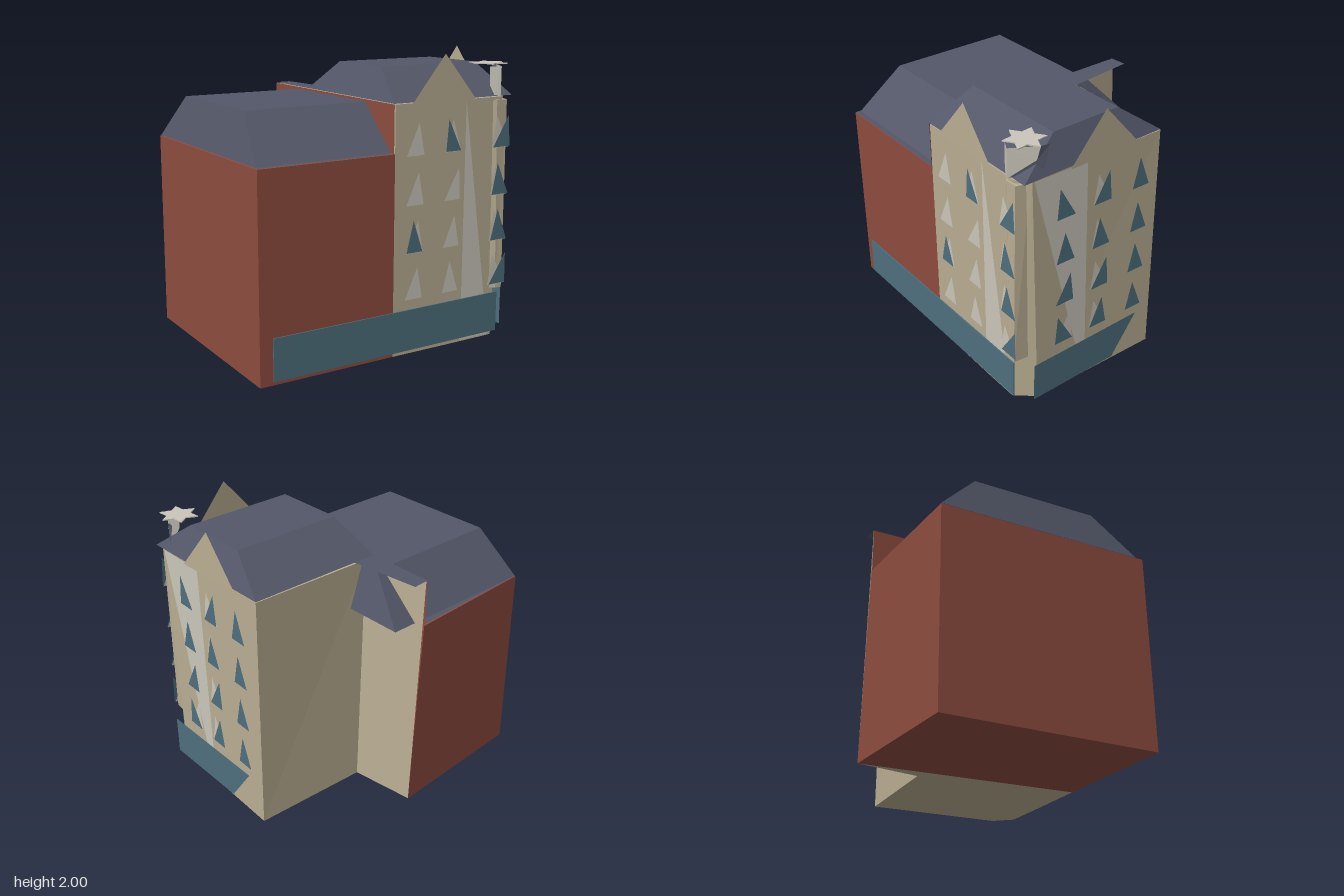
import * as THREE from 'three';

const mat = (name, color) => {
  const m = new THREE.MeshStandardMaterial({ color, side: THREE.DoubleSide, flatShading: true });
  m.name = name;
  return m;
};

// Solid between two rings of [x, z] points, listed anticlockwise from above
function loft(bottom, top, y0, y1) {
  const pos = [], n = bottom.length;
  const b = bottom.map(([x, z]) => [x, y0, z]);
  const t = top.map(([x, z]) => [x, y1, z]);
  const tri = (p, q, r) => pos.push(...p, ...q, ...r);
  for (let i = 0; i < n; i++) {
    const j = (i + 1) % n;
    tri(b[i], b[j], t[j]);
    tri(b[i], t[j], t[i]);
  }
  const caps = THREE.ShapeUtils.triangulateShape(bottom.map(([x, z]) => new THREE.Vector2(x, -z)), []);
  for (const [p, q, r] of caps) {
    tri(t[p], t[q], t[r]);
    tri(b[r], b[q], b[p]);
  }
  return finish(pos);
}

// Flat convex face through 3D corners
function face(...pts) {
  const pos = [];
  for (let i = 1; i < pts.length - 1; i++) pos.push(...pts[0], ...pts[i], ...pts[i + 1]);
  return finish(pos);
}

function finish(pos) {
  const g = new THREE.BufferGeometry();
  g.setAttribute('position', new THREE.Float32BufferAttribute(pos, 3));
  g.computeVertexNormals();
  return g;
}

const rect = (x0, x1, z0, z1) => [[x0, z1], [x1, z1], [x1, z0], [x0, z0]];

export function createModel() {
  const red = mat('brickRed', 0x8e4c3f);
  const beige = mat('beigeStone', 0xb9ad92);
  const cream = mat('paleCream', 0xcac6ba);
  const teal = mat('tealGlass', 0x4d6f7d);
  const slate = mat('slateRoof', 0x535768);
  const root = new THREE.Group();
  root.name = 'cornerBuilding';
  const add = (name, geo, m) => {
    const mesh = new THREE.Mesh(geo, m);
    mesh.name = name;
    root.add(mesh);
    return mesh;
  };

  // Low brick wing and its hipped roof
  add('brickWing', loft(
    [[-0.99, 0.77], [0, 0.77], [0.08, -0.81], [-0.99, -0.75]],
    [[-0.99, 0.77], [0, 0.77], [0, -0.81], [-0.99, -0.75]], 0, 1.375), red);
  add('brickWingRoof', loft(rect(-0.98, 0.2, -0.75, 0.73), rect(-0.9, 0.1, -0.47, 0.43), 1.38, 1.68), slate);
  add('wingEave', face([-0.985, 1.38, 0.77], [0, 1.38, 0.77], [0, 1.38, -0.8], [-0.985, 1.38, -0.75]), slate);

  // Tall stone tower with a rear annex
  add('stoneTower', loft(
    [[0, 0.77], [0.56, 0.775], [0.84, 0.775], [0.95, 0.65], [0.985, -0.32], [0.15, -0.355], [0.08, -0.81]],
    [[0, 0.77], [0.56, 0.775], [0.87, 0.775], [0.95, 0.7], [0.965, -0.32], [0.07, -0.33], [0, -0.81]], 0, 1.695), beige);
  add('brickPartyWall', face([-0.008, 1.37, 0.77], [-0.008, 1.695, 0.77], [-0.008, 1.695, -0.81], [-0.008, 1.37, -0.81]), red);
  add('towerRoof', loft(rect(-0.01, 0.965, -0.32, 0.77), rect(0.08, 0.87, -0.03, 0.48), 1.7, 1.91), slate);
  add('annexRoof', face([-0.01, 1.7, -0.32], [0.16, 1.7, -0.32], [0.11, 1.7, -0.82], [-0.01, 1.7, -0.81]), slate);

  // Flat gables
  add('frontGable', face([0.12, 1.685, 0.78], [0.65, 1.685, 0.78], [0.385, 2, 0.775]), beige);
  add('sideGable', face([0.975, 1.685, 0.43], [0.975, 1.685, -0.12], [0.97, 2, 0.155]), beige);

  // Tapering pale wall panels
  add('frontPalePanel', face([0.565, 1.69, 0.779], [0.565, 0.01, 0.779], [0.81, 0.01, 0.779]), cream);
  const wallX = z => 0.953 + 0.036 * (0.68 - z);
  const onSide = ([z, y], off) => [wallX(z) + off, y, z];
  add('sidePalePanel', face(...[[0.69, 1.69], [0.27, 0.01], [0.255, 0.01], [0.29, 1.69]].map(p => onSide(p, 0.003))), cream);

  // Narrow bay on the chamfered corner
  add('cornerBay', loft(
    [[0.81, 0.77], [0.85, 0.8], [0.9, 0.805], [0.915, 0.69]],
    [[0.79, 0.77], [0.82, 0.79], [0.905, 0.79], [0.93, 0.7]], 0.35, 1.675), beige);

  // Shop-front bands
  const band = add('frontBand', new THREE.BoxGeometry(1.78, 0.285, 0.008), teal);
  band.position.set(-0.015, 0.1725, 0.787);
  add('sideBand', face([0.984, 0.03, 0.705], [0.99, 0.03, 0.02], [0.992, 0.317, -0.185], [0.984, 0.317, 0.705]), teal);

  // Triangular windows, four floors from the top down
  const floors = [1.357, 1.028, 0.705, 0.387];
  const h = 0.217;
  const frontWindow = (l, r, apex, y, z, m) =>
    add('frontWindow', face([l, y, z], [r, y, z], [apex, y + h, z]), m);
  const sideWindow = (l, r, apex, y, off, m) =>
    add('sideWindow', face(...[[l, y], [r, y], [apex, y + h]].map(p => onSide(p, off))), m);
  const cornerApex = [0.91, 0.825, 0.84, 0.92];
  const midApex = [0.46, 0.515, 0.485, 0.455];
  const sideApex = [[0.5, 0.115], [0.455, 0.18], [0.405, 0.11], [0.5, 0.135]];
  floors.forEach((y, i) => {
    frontWindow(0.085, 0.225, 0.183, y - 0.004, 0.782, cream);
    frontWindow(0.395, 0.527, midApex[i], y - 0.004, 0.782, cream);
    frontWindow(0.77, 0.92, 0.81, y - 0.004, 0.808, cream);
    frontWindow(0.78, 0.923, cornerApex[i], y, 0.812, teal);
    sideWindow(0.515, 0.375, 0.41, y - 0.004, 0.006, cream);
    sideWindow(0.235, 0.09, 0.2, y - 0.004, 0.006, cream);
    sideWindow(0.52, 0.378, sideApex[i][0], y, 0.01, teal);
    sideWindow(0.232, 0.093, sideApex[i][1], y, 0.01, teal);
    sideWindow(-0.083, -0.218, -0.135, y, 0.01, teal);
  });
  frontWindow(0.4, 0.525, 0.42, floors[0], 0.786, teal);
  frontWindow(0.09, 0.22, 0.145, floors[2], 0.786, teal);

  // Faceted corner turret
  add('turretFront', face([0.84, 1.9, 0.8], [0.77, 1.9, 0.76], [0.775, 1.77, 0.765], [0.8, 1.71, 0.78], [0.84, 1.7, 0.8]), cream);
  add('turretSide', face([0.84, 1.9, 0.8], [0.84, 1.7, 0.8], [0.93, 1.81, 0.65], [0.94, 1.9, 0.63]), cream);
  add('turretSlate', face([0.93, 1.81, 0.65], [0.84, 1.7, 0.79], [0.95, 1.75, 0.61], [0.95, 1.9, 0.57], [0.94, 1.9, 0.63]), slate);

  // Flat six-pointed finial
  const star = new THREE.Shape();
  for (let i = 0; i < 12; i++) {
    const r = i % 2 ? 0.078 : 0.135, a = Math.PI + 0.08 + i * Math.PI / 6;
    star[i ? 'lineTo' : 'moveTo'](r * Math.cos(a), r * Math.sin(a));
  }
  const finial = add('starFinial', new THREE.ExtrudeGeometry(star, { depth: 0.008, bevelEnabled: false }), cream);
  finial.rotation.x = -Math.PI / 2;
  finial.position.set(0.835, 1.912, 0.665);

  return root;
}
